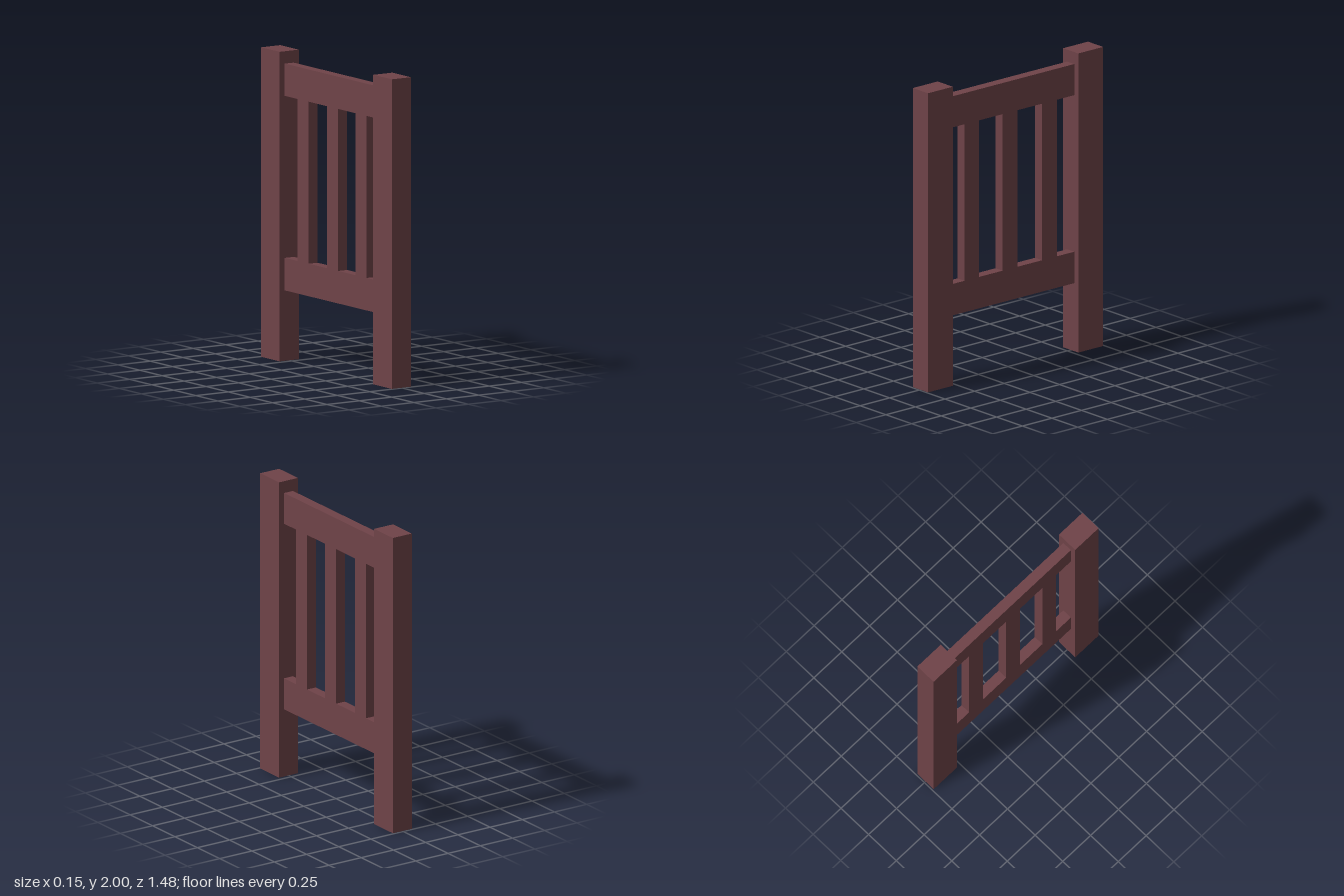
import * as THREE from 'three';

export function createModel() {
  const group = new THREE.Group();
  const wood = new THREE.MeshStandardMaterial({ color: 0x6f4348 });
  wood.name = 'dark reddish wood';

  // Two square-cut end posts
  for (const side of [1, -1]) {
    const post = new THREE.Mesh(new THREE.BoxGeometry(0.147, 2, 0.21), wood);
    post.name = side > 0 ? 'frontPost' : 'backPost';
    post.position.set(0, 1, side * 0.635);
    group.add(post);
  }

  // Rails and slats are flush, so they are cut from one panel
  const end = 0.53, thickness = 0.069;
  const bottom = 0.455, low = 0.665, high = 1.712, top = 1.92;
  const slats = [[-0.383, -0.259], [-0.05, 0.075], [0.274, 0.398]];
  const points = (list) => list.map(([z, y]) => new THREE.Vector2(z, y));

  // Outline with an open notch between each outer slat and its post
  const first = slats[0][0], last = slats[2][1];
  const outline = new THREE.Shape(points([
    [-end, bottom], [end, bottom], [end, low], [last, low], [last, high], [end, high],
    [end, top], [-end, top], [-end, high], [first, high], [first, low], [-end, low],
  ]));

  // Openings between neighbouring slats
  for (let i = 0; i < slats.length - 1; i++) {
    const a = slats[i][1], b = slats[i + 1][0];
    outline.holes.push(new THREE.Path(points([[a, low], [a, high], [b, high], [b, low]])));
  }

  const geometry = new THREE.ExtrudeGeometry(outline, { depth: thickness, bevelEnabled: false });
  geometry.translate(0, 0, -thickness / 2);
  geometry.rotateY(-Math.PI / 2);
  const panel = new THREE.Mesh(geometry, wood);
  panel.name = 'railsAndSlats';
  group.add(panel);

  return group;
}
